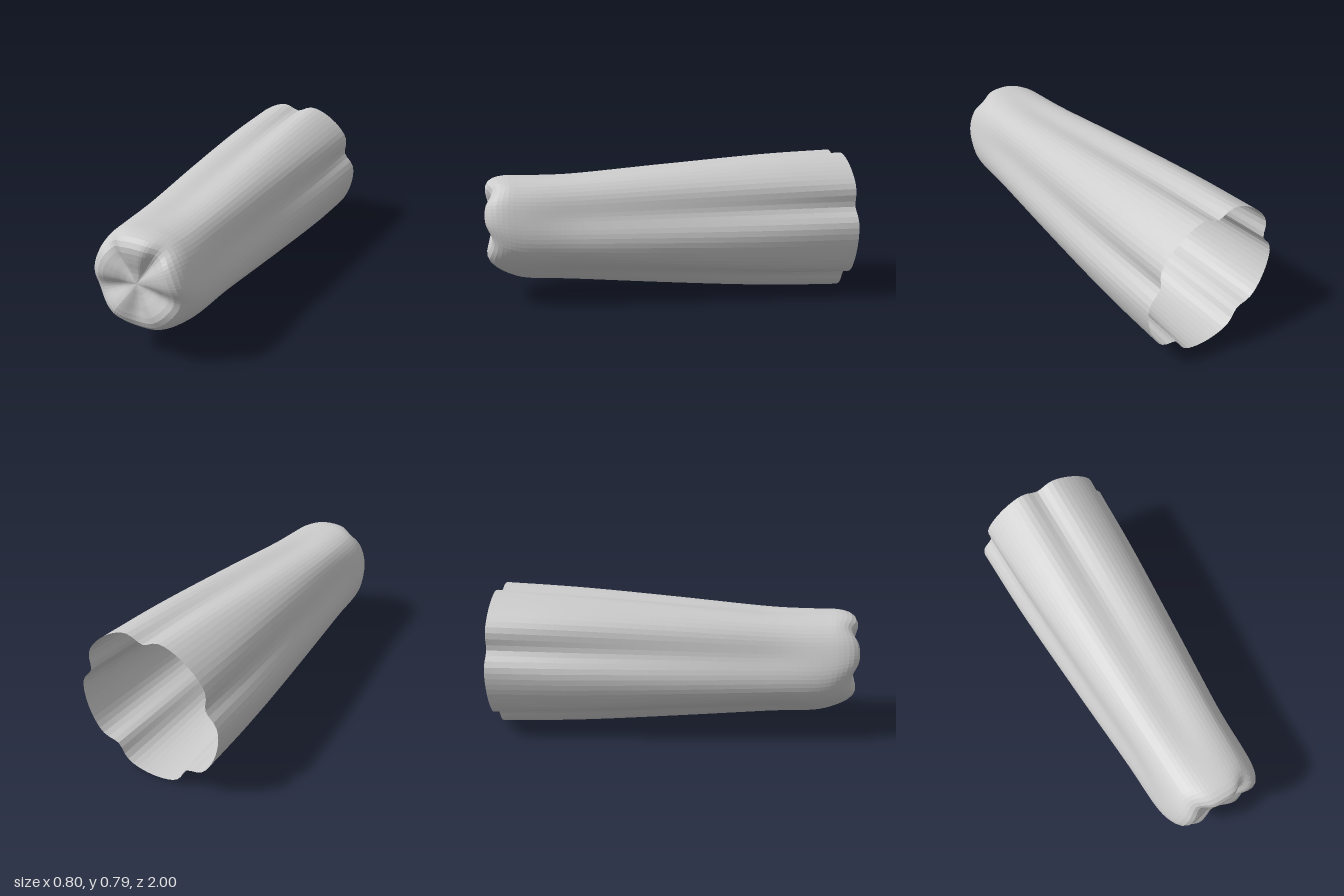
import * as THREE from 'three';

const { lerp, clamp, smoothstep } = THREE.MathUtils;
const STEP = (2 * Math.PI) / 5; // five lobes
const SEGMENTS = 80;
const RINGS = 74;

// Centre line profile, open back rim to closed tip: (z, lobe radius, centre height)
const profile = new THREE.CatmullRomCurve3([
  [-1, 0.403, 0.403], [-0.6, 0.39, 0.401], [0, 0.351, 0.4], [0.55, 0.309, 0.4],
  [0.8, 0.294, 0.405], [0.9, 0.278, 0.418], [0.96, 0.256, 0.425], [0.99, 0.23, 0.428],
  [1, 0.195, 0.43], [0.99, 0.13, 0.43], [0.972, 0.065, 0.43], [0.965, 0, 0.43],
].map((p) => new THREE.Vector3(...p)), false, 'centripetal');
profile.arcLengthDivisions = 600;

// 1 at five evenly spaced angles starting from the given one, falling to 0 between them
function fivefold(angle, start, width) {
  const d = THREE.MathUtils.euclideanModulo(angle - start + STEP / 2, STEP) - STEP / 2;
  return Math.exp(-((d / width) ** 2));
}

// Fluted sleeve: a tube whose rings follow the profile and are pinched by five grooves
function sleeveGeometry() {
  const geometry = new THREE.CylinderGeometry(1, 1, 1, SEGMENTS, RINGS, true);
  const pos = geometry.attributes.position;
  const uv = geometry.attributes.uv;
  for (let i = 0; i < pos.count; i++) {
    const angle = uv.getX(i) * 2 * Math.PI; // 0 points down
    const t = clamp(uv.getY(i), 0, 1);
    const { x: z, y: radius, z: height } = profile.getPointAt(t);

    // Grooves are narrow at the rim, broaden forward and flatten out near the tip
    const width = lerp(0.165, 0.42, clamp((z + 1) / 1.8, 0, 1));
    const depth = lerp(0.122, 0.04, smoothstep(z, 0.45, 1));
    const r = Math.max(radius, 0) * (1 - depth * fivefold(angle, STEP / 2, width));

    // The tip is dented in line with the lobes, leaving knuckles in line with the grooves
    const onTip = smoothstep(t, 0.8, 0.9) * smoothstep(radius, 0, 0.18);
    const dent = 0.036 * onTip * fivefold(angle, 0, 0.32 + 0.1 * Math.cos(angle));
    pos.setXYZ(i, r * Math.sin(angle), height - r * Math.cos(angle), z - dent);
  }
  geometry.computeVertexNormals();
  return geometry;
}

export function createModel() {
  const model = new THREE.Group();
  model.name = 'flutedSleeve';
  const material = new THREE.MeshStandardMaterial({
    color: 0xcccccc, flatShading: true, side: THREE.DoubleSide,
  });
  const sleeve = new THREE.Mesh(sleeveGeometry(), material);
  sleeve.name = 'sleeve';
  model.add(sleeve);
  return model;
}
